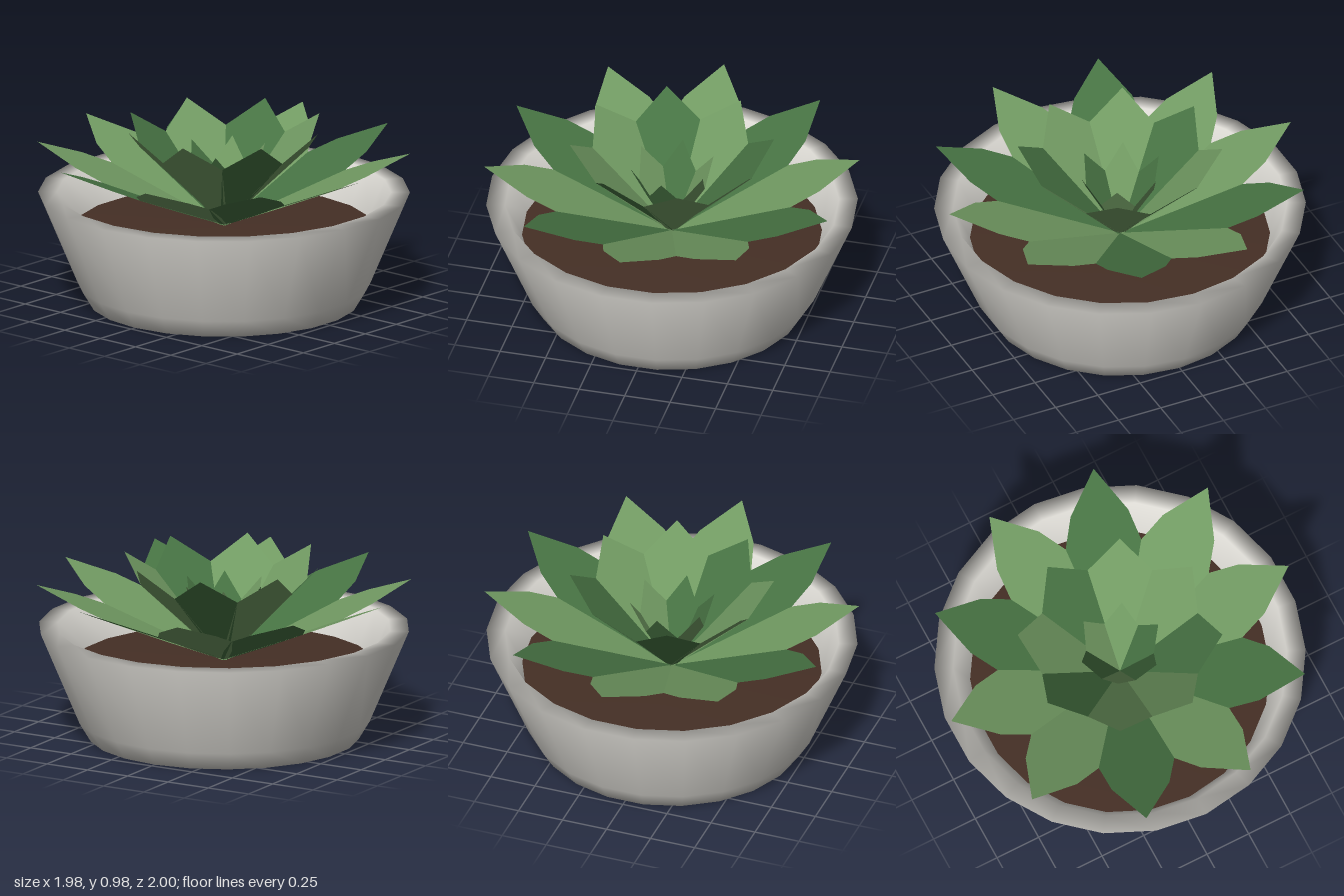
import * as THREE from 'three';

const V = (x, y) => new THREE.Vector2(x, y);
const mat = (name, color, side = THREE.FrontSide) => {
  const m = new THREE.MeshStandardMaterial({ color, side });
  m.name = name;
  return m;
};

// Flat leaf outline: [fraction of length, half width] pairs from base to tip
function leafGeometry(length, outline, tilt) {
  const right = outline.map(([f, w]) => V(w, f * length));
  const left = outline.filter(([, w]) => w > 0).map(([f, w]) => V(-w, f * length)).reverse();
  const geo = new THREE.ShapeGeometry(new THREE.Shape([...right, ...left]));
  return geo.rotateX(Math.PI / 2 - tilt);
}

export function createModel() {
  const group = new THREE.Group();
  const ceramic = mat('ceramic', 0xdad8d2);
  const earth = mat('earth', 0x452f25);
  const leafColours = {
    L: mat('light green', 0x719a62, THREE.DoubleSide),
    D: mat('deep green', 0x477343, THREE.DoubleSide),
  };

  // Shallow bowl with a flat rim and a sloping inner wall
  const bowl = [V(0, 0), V(0.72, 0), V(0.78, 0.1), V(0.99, 0.6), V(0.89, 0.6), V(0.8, 0.41), V(0.79, 0.36)];
  const pot = new THREE.Mesh(new THREE.LatheGeometry(bowl, 22, Math.PI / 2), ceramic);
  pot.name = 'pot';
  group.add(pot);

  // Soil surface with softly rounded edge
  const soilProfile = [V(0.8, 0.37), V(0.8, 0.405), V(0, 0.415)];
  const soil = new THREE.Mesh(new THREE.LatheGeometry(soilProfile, 22, Math.PI / 2), earth);
  soil.name = 'soil';
  group.add(soil);

  // Three rings of leaves, each steeper and shorter than the last;
  // start is the first leaf's angle in degrees, clockwise from the back
  const rings = [
    { name: 'outerLeaf', radius: 1.0, rise: 0.425, start: 1.5, colours: 'LDLDLLDLDL',
      outline: [[0, 0.02], [0.3, 0.12], [0.62, 0.205], [0.78, 0.155], [1, 0]] },
    { name: 'middleLeaf', radius: 0.545, rise: 0.56, start: -17.5, colours: 'DLDLLDLL',
      outline: [[0, 0.02], [0.4, 0.1], [0.76, 0.172], [1, 0]] },
    { name: 'innerLeaf', radius: 0.23, rise: 0.43, start: 0, colours: 'DLLDDL',
      outline: [[0, 0.01], [0.35, 0.05], [0.68, 0.09], [0.82, 0.05], [1, 0]] },
  ];
  for (const { name, radius, rise, start, colours, outline } of rings) {
    const geo = leafGeometry(Math.hypot(radius, rise), outline, Math.atan2(rise, radius));
    [...colours].forEach((c, i) => {
      const leaf = new THREE.Mesh(geo, leafColours[c]);
      leaf.name = name;
      leaf.position.y = 0.42;
      leaf.rotation.y = Math.PI - THREE.MathUtils.degToRad(start + (i * 360) / colours.length);
      group.add(leaf);
    });
  }
  return group;
}
